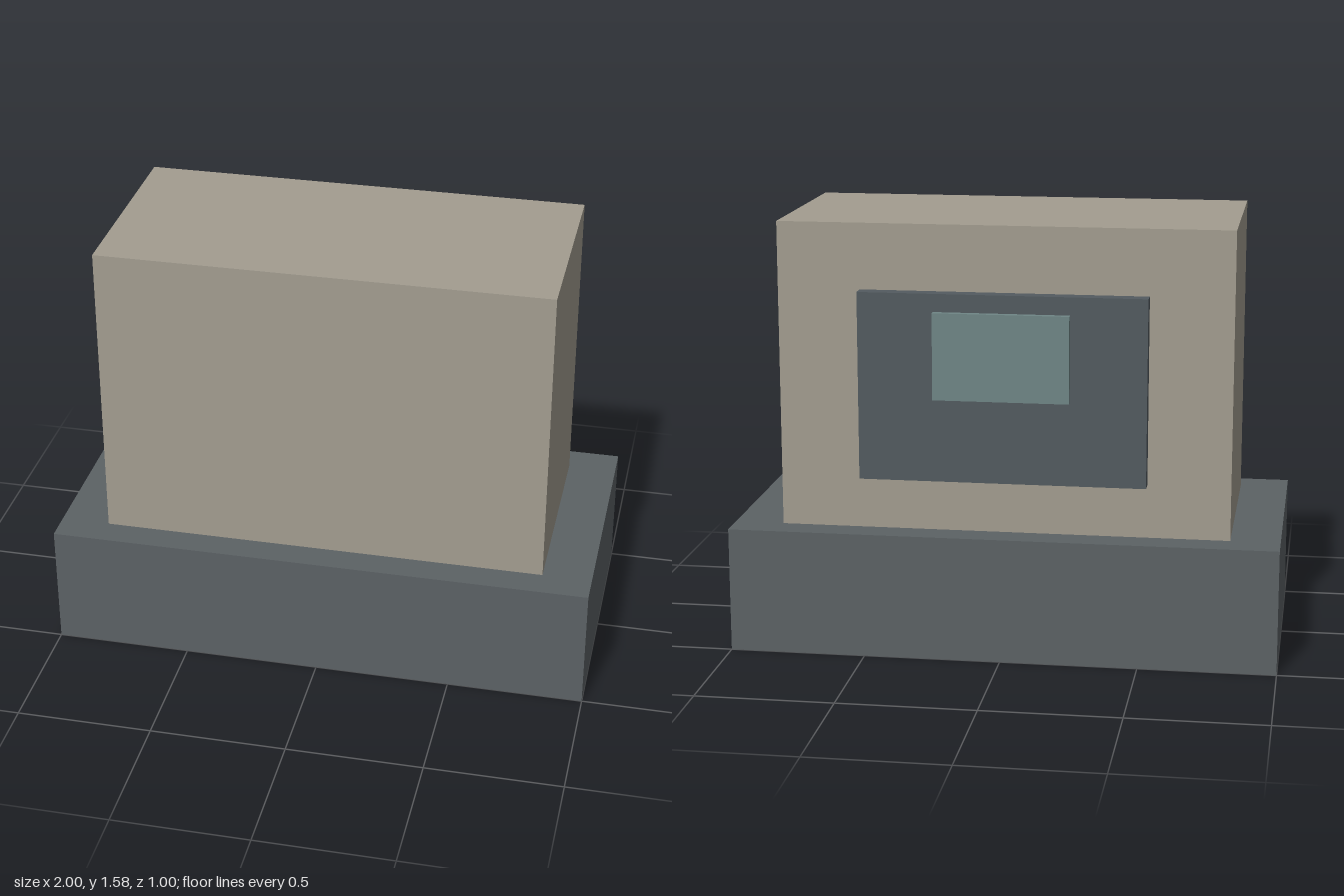
import * as THREE from 'three';

export function createModel() {
  const model = new THREE.Group();

  // Box given by its width (centred on x), y range and z range
  function block(name, color, width, y0, y1, z0, z1) {
    const mesh = new THREE.Mesh(
      new THREE.BoxGeometry(width, y1 - y0, z1 - z0),
      new THREE.MeshStandardMaterial({ color })
    );
    mesh.position.set(0, (y0 + y1) / 2, (z0 + z1) / 2);
    mesh.name = name;
    model.add(mesh);
  }

  // Wide plinth and the upright body on it
  block('base', 0x5c6265, 2, 0, 0.46, -0.5, 0.5);
  block('body', 0xa39d90, 1.64, 0.46, 1.58, -0.39, 0.39);

  // Panel and raised plate on the back
  block('backPanel', 0x535b60, 1.04, 0.655, 1.34, -0.445, -0.39);
  block('backPlate', 0x6f8686, 0.49, 0.96, 1.275, -0.47, -0.445);

  return model;
}
